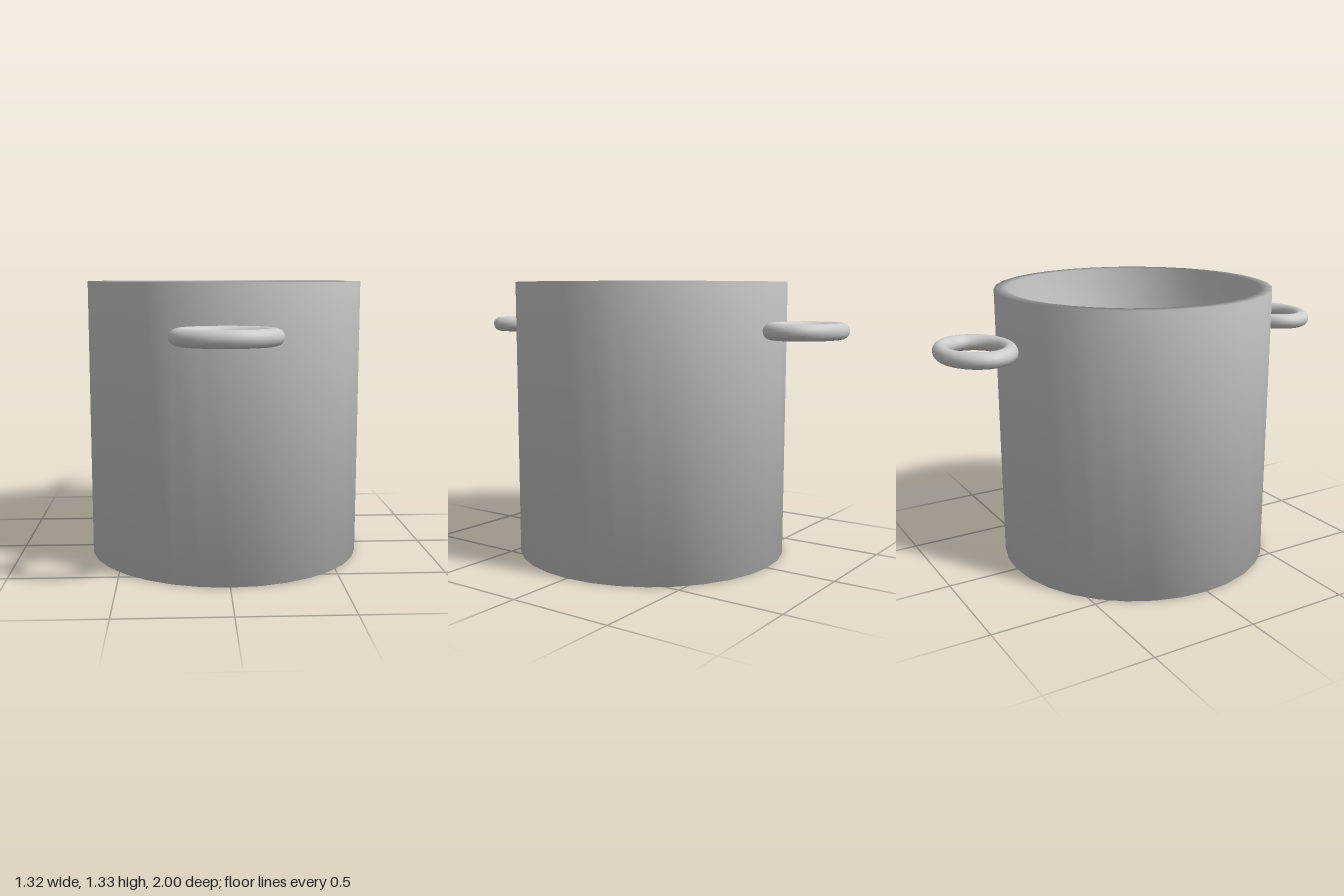
import * as THREE from 'three';

const grey = new THREE.MeshStandardMaterial({ color: 0xcccccc });

// Thick-walled pot: one smooth profile, outside then inside
function makePot() {
  const profile = [
    [0, 0], [0.66, 0], [0.66, 1.325], [0.605, 1.325], [0.605, 0.06], [0, 0.06],
  ].map(([r, y]) => new THREE.Vector2(r, y));
  const pot = new THREE.Mesh(new THREE.LatheGeometry(profile, 32), grey);
  pot.name = 'pot';
  return pot;
}

// Flat oval ring handle, lying level against the wall
function makeHandle(name, z) {
  const ring = new THREE.TorusGeometry(1, 0.22, 16, 48);
  ring.rotateX(Math.PI / 2);
  ring.scale(0.193, 0.037 / 0.22, 0.146);
  const handle = new THREE.Mesh(ring, grey);
  handle.name = name;
  handle.position.set(-0.025, 1.107, z);
  return handle;
}

export function createModel() {
  const model = new THREE.Group();
  model.name = 'cookingPot';
  model.add(
    makePot(),
    makeHandle('frontHandle', 0.82),
    makeHandle('backHandle', -0.822),
  );
  return model;
}
